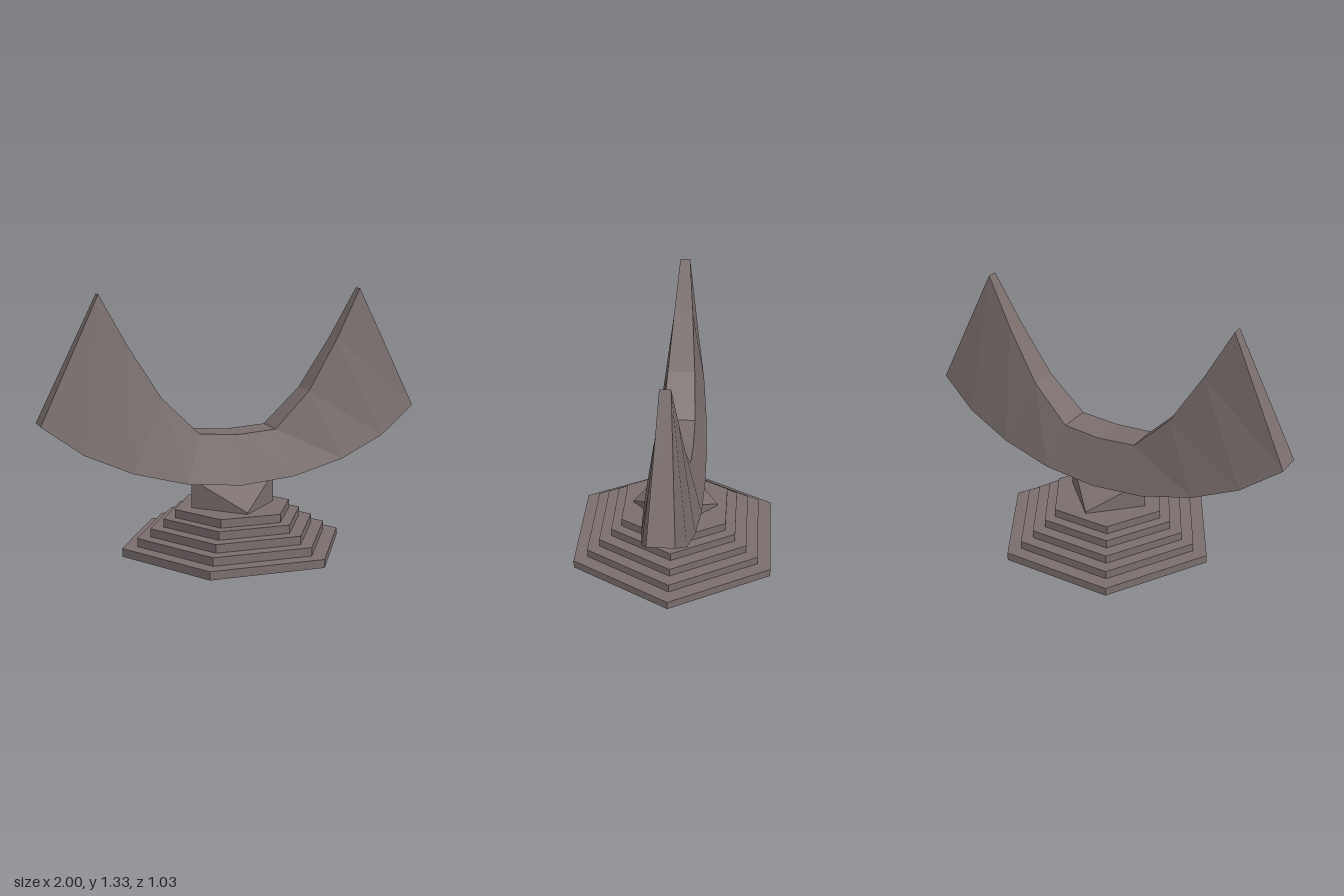
import * as THREE from 'three';

// double-sided because the base plates are open underneath
const stone = new THREE.MeshStandardMaterial({ color: 0x7a6e6d, side: THREE.DoubleSide });
stone.name = 'warm grey stone';

function flatGeometry(points, index) {
  const indexed = new THREE.BufferGeometry();
  indexed.setAttribute('position', new THREE.Float32BufferAttribute(points.flat(), 3));
  indexed.setIndex(index);
  const geometry = indexed.toNonIndexed();
  geometry.computeVertexNormals();
  return geometry;
}

function addPart(group, name, geometry) {
  const mesh = new THREE.Mesh(geometry, stone);
  mesh.name = name;
  group.add(mesh);
  return mesh;
}

// Crescent: four-cornered sections swept from one horn tip to the other
function crescentGeometry() {
  // outer x, y, half depth; inner x, y, half depth (middle to tip)
  const half = [
    [0, 0.357, 0.153, 0, 0.608, 0.09],
    [0.285, 0.382, 0.148, 0.205, 0.623, 0.086],
    [0.56, 0.452, 0.131, 0.395, 0.81, 0.072],
    [0.8, 0.557, 0.105, 0.56, 1.075, 0.05],
    [1, 0.702, 0.065, 0.697, 1.33, 0.026],
  ];
  const mirrored = half.slice(1).reverse().map(([a, b, c, d, e, f]) => [-a, b, c, -d, e, f]);
  const sections = [...mirrored, ...half];
  const points = [];
  for (const [ox, oy, oz, ix, iy, iz] of sections) {
    points.push([ox, oy, oz], [ox, oy, -oz], [ix, iy, -iz], [ix, iy, iz]);
  }
  const index = [];
  for (let i = 0; i < sections.length - 1; i++) {
    for (let j = 0; j < 4; j++) {
      const a = i * 4 + j, b = i * 4 + (j + 1) % 4;
      index.push(a, b, b + 4, a, b + 4, a + 4);
    }
  }
  // horn ends
  const e = (sections.length - 1) * 4;
  index.push(0, 2, 1, 0, 3, 2, e, e + 1, e + 2, e, e + 2, e + 3);
  return flatGeometry(points, index);
}

// Pedestal: diamond foot with a low rim, rising to a single ridge along x
function pedestalGeometry() {
  const r = 0.225, top = 0.375;
  const diamond = (y) => [[r, y, 0], [0, y, r], [-r, y, 0], [0, y, -r]];
  const points = [...diamond(0.232), [r, top, 0], [-r, top, 0], ...diamond(0.224)];
  const index = [
    1, 4, 5, 3, 5, 4, // front and back slopes
    1, 0, 4, 0, 3, 4, 2, 1, 5, 3, 2, 5, // side triangles
  ];
  for (let i = 0; i < 4; i++) {
    const n = (i + 1) % 4;
    index.push(i, n, n + 6, i, n + 6, i + 6);
  }
  return flatGeometry(points, index);
}

export function createModel() {
  const group = new THREE.Group();
  group.name = 'crescentMonument';

  // Stepped hexagonal base: hollow plates, each a rim with a top and no underside
  const steps = new THREE.Group();
  steps.name = 'steppedBase';
  const thickness = 0.043, pitch = 0.045;
  [0.594, 0.515, 0.445, 0.375, 0.315].forEach((radius, i) => {
    const rim = new THREE.CylinderGeometry(radius, radius, thickness, 6, 1, true, Math.PI / 2).toNonIndexed();
    rim.computeVertexNormals();
    addPart(steps, `stepRim${i + 1}`, rim).position.y = pitch * i + thickness / 2;
    const tread = new THREE.CircleGeometry(radius, 6).rotateX(-Math.PI / 2);
    addPart(steps, `stepTread${i + 1}`, tread).position.y = pitch * i + thickness;
  });
  group.add(steps);

  addPart(group, 'pedestal', pedestalGeometry());
  addPart(group, 'crescent', crescentGeometry()).position.z = -0.004;
  return group;
}
